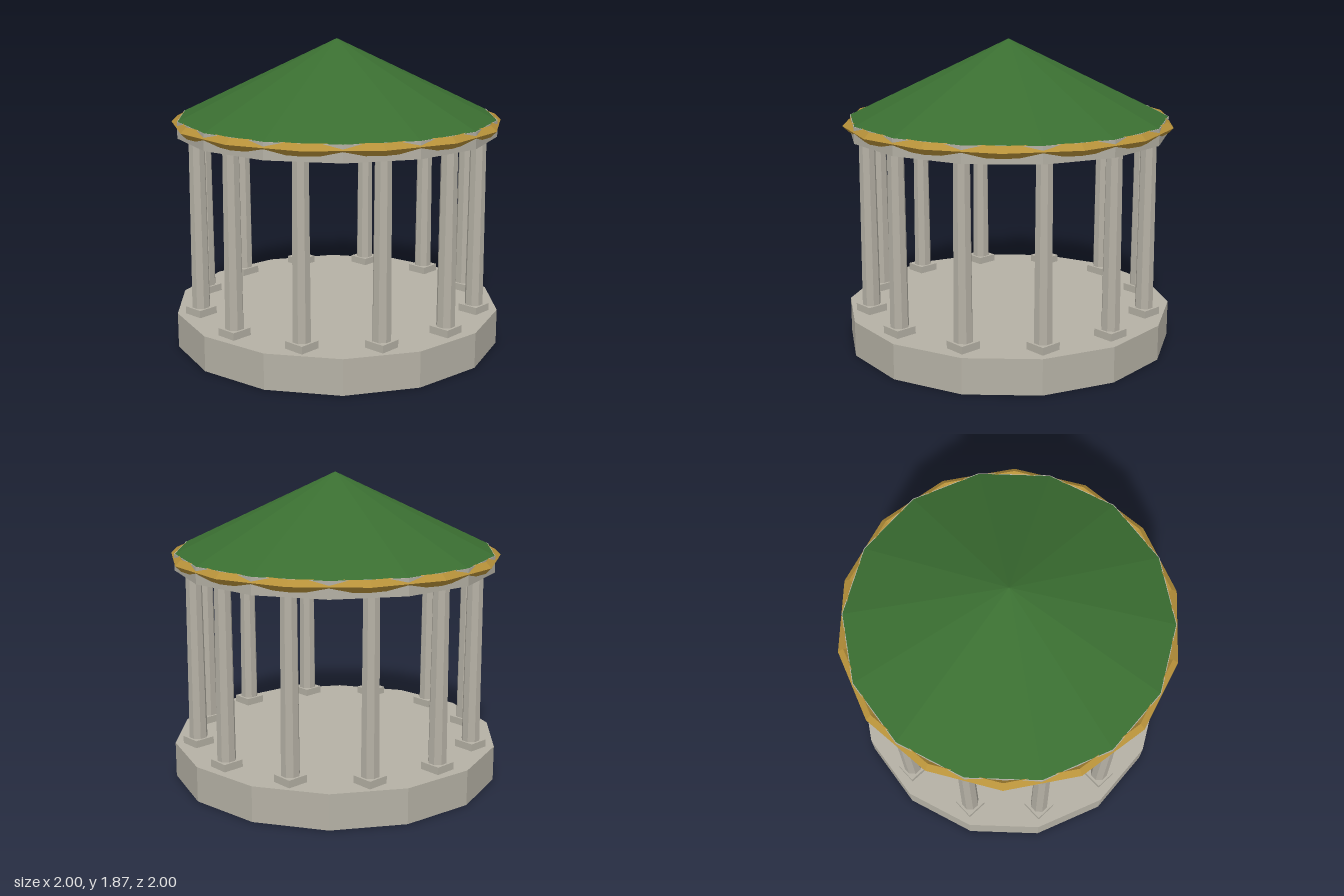
import * as THREE from 'three';

const SIDES = 14;
const TURN = Math.PI / 4; // the round parts share one turn about the vertical axis

export function createModel() {
  const group = new THREE.Group();
  const mat = (name, color) => {
    const m = new THREE.MeshStandardMaterial({ color, flatShading: true });
    m.name = name;
    return m;
  };
  const stone = mat('stone', 0xb5b1a5);
  const gold = mat('gold', 0xb8923a);
  const green = mat('roofGreen', 0x3a6e31);

  const add = (name, geometry, material, x, y, z, parent = group) => {
    const mesh = new THREE.Mesh(geometry, material);
    mesh.name = name;
    mesh.position.set(x, y, z);
    parent.add(mesh);
    return mesh;
  };

  // Round platform
  add('platform', new THREE.CylinderGeometry(1.006, 1.006, 0.215, SIDES).rotateY(TURN), stone, 0, 0.1075, 0);

  // Ring of twelve tapered columns on square plinths
  const shaft = new THREE.CylinderGeometry(0.049, 0.056, 1.045, 8).rotateY(Math.PI / 8);
  const plinth = new THREE.BoxGeometry(0.132, 0.045, 0.132);
  for (let i = 0; i < 12; i++) {
    const a = (i / 12) * Math.PI * 2;
    const column = new THREE.Group();
    column.name = 'column';
    column.position.set(Math.sin(a) * 0.866, 0, Math.cos(a) * 0.866);
    add('plinth', plinth, stone, 0, 0.2375, 0, column);
    add('shaft', shaft, stone, 0, 0.7775, 0, column);
    group.add(column);
  }

  // Ring beam carrying the roof
  add('ringBeam', new THREE.CylinderGeometry(0.974, 0.974, 0.1, SIDES).rotateY(TURN), stone, 0, 1.35, 0);

  // Gold trim around the beam
  const trim = new THREE.TorusGeometry(0.971, 0.035, 4, SIDES).rotateX(Math.PI / 2).rotateY(TURN);
  add('goldTrim', trim, gold, 0, 1.368, 0);

  // Conical roof
  add('roof', new THREE.ConeGeometry(0.97, 0.468, SIDES).rotateY(TURN), green, 0, 1.634, 0);

  return group;
}
